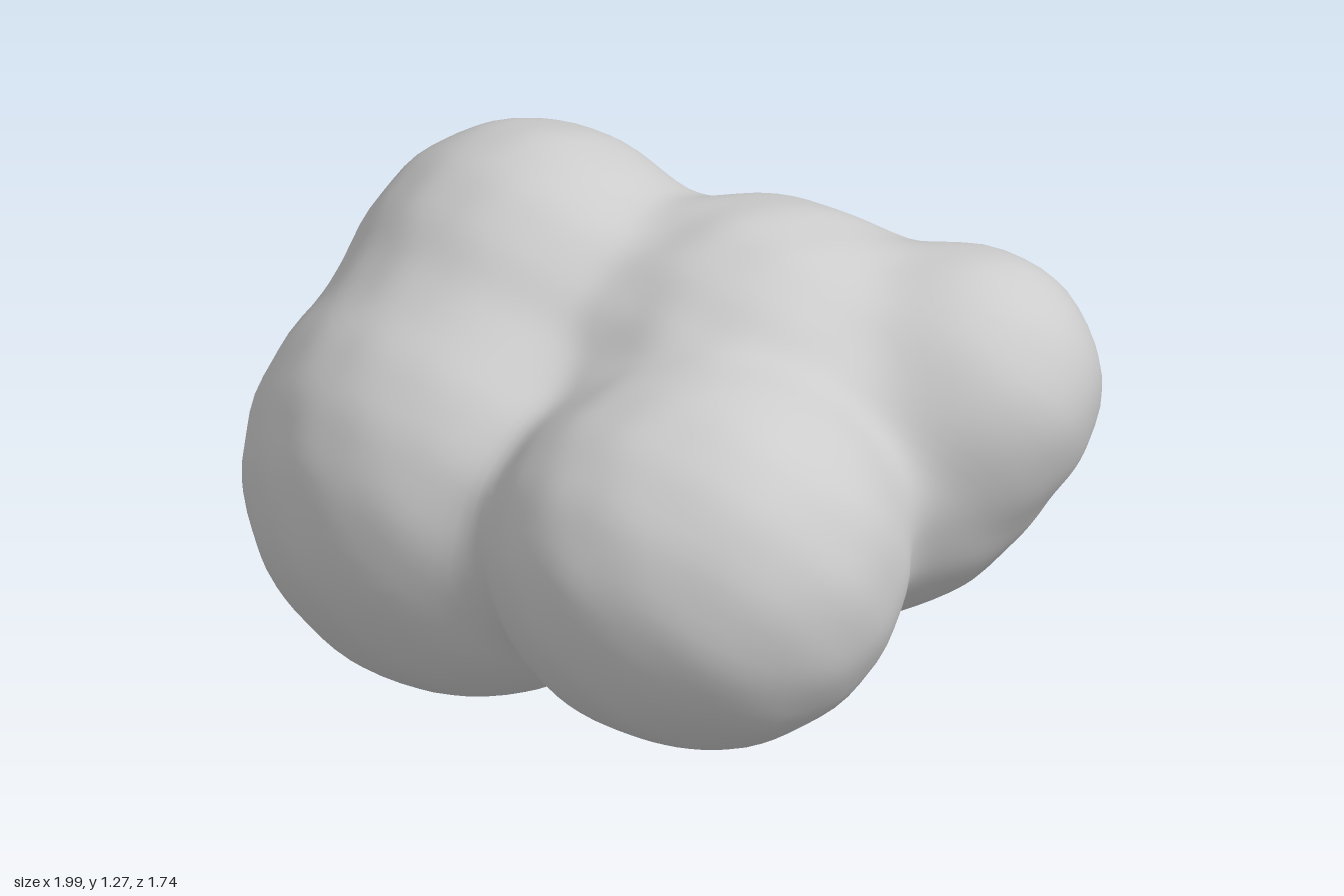
import * as THREE from 'three';
import { mergeVertices } from 'three/addons/utils/BufferGeometryUtils.js';

// Lobes of the lump: centre x, y, z and radius
const LOBES = [
  [-0.49, 0.52, 0.02, 0.505],  // low side lobe
  [-0.38, 0.45, 0.03, 0.41],   // its inner underside
  [-0.4, 0.83, -0.265, 0.435], // high rear side lobe
  [0.255, 0.59, 0.41, 0.447],  // front lobe
  [0.1, 0.6, 0.47, 0.36],      // its inner bulge
  [0.68, 0.81, -0.21, 0.315],  // high outer lobe
  [0.05, 0.55, -0.485, 0.39],  // rear lobe
  [0.18, 0.69, -0.15, 0.505],  // core
  [0.46, 0.635, -0.21, 0.4],   // lobe under the outer one
];
const CORE = new THREE.Vector3(0.03, 0.63, -0.08);
const BLEND = 0.05;

// Distance to the softly blended union of the lobes
function distance(p) {
  let sum = 0;
  for (const [x, y, z, r] of LOBES) {
    const d = Math.hypot(p.x - x, p.y - y, p.z - z) - r;
    sum += Math.exp(-d / BLEND);
  }
  return -BLEND * Math.log(sum);
}

// Faint uneven skin
function bumps(p) {
  return 0.005 * Math.sin(19 * p.x + 7 * p.y) * Math.sin(17 * p.y - 5 * p.z) * Math.sin(21 * p.z + 6 * p.x);
}

function lumpGeometry() {
  let geo = new THREE.IcosahedronGeometry(1, 26);
  geo.deleteAttribute('normal');
  geo.deleteAttribute('uv');
  geo = mergeVertices(geo, 1e-4);
  const pos = geo.attributes.position;
  const dir = new THREE.Vector3();
  const p = new THREE.Vector3();
  for (let i = 0; i < pos.count; i++) {
    // March inward from outside until the skin is met
    dir.fromBufferAttribute(pos, i).normalize();
    let t = 1.8;
    for (let s = 0; s < 120; s++) {
      p.copy(CORE).addScaledVector(dir, t);
      const d = distance(p);
      if (d < 0.0005) break;
      t -= d * 0.9;
    }
    p.addScaledVector(dir, bumps(p));
    pos.setXYZ(i, p.x, p.y, p.z);
  }
  // Centre it and stand it on the ground
  geo.computeBoundingBox();
  const mid = geo.boundingBox.getCenter(new THREE.Vector3());
  geo.translate(-mid.x, -geo.boundingBox.min.y, -mid.z);
  geo.computeVertexNormals();
  return geo;
}

export function createModel() {
  const group = new THREE.Group();
  group.name = 'lump';
  const grey = new THREE.MeshStandardMaterial({ color: 0xcccccc });
  grey.name = 'light grey';
  const body = new THREE.Mesh(lumpGeometry(), grey);
  body.name = 'lobedBody';
  group.add(body);
  return group;
}
